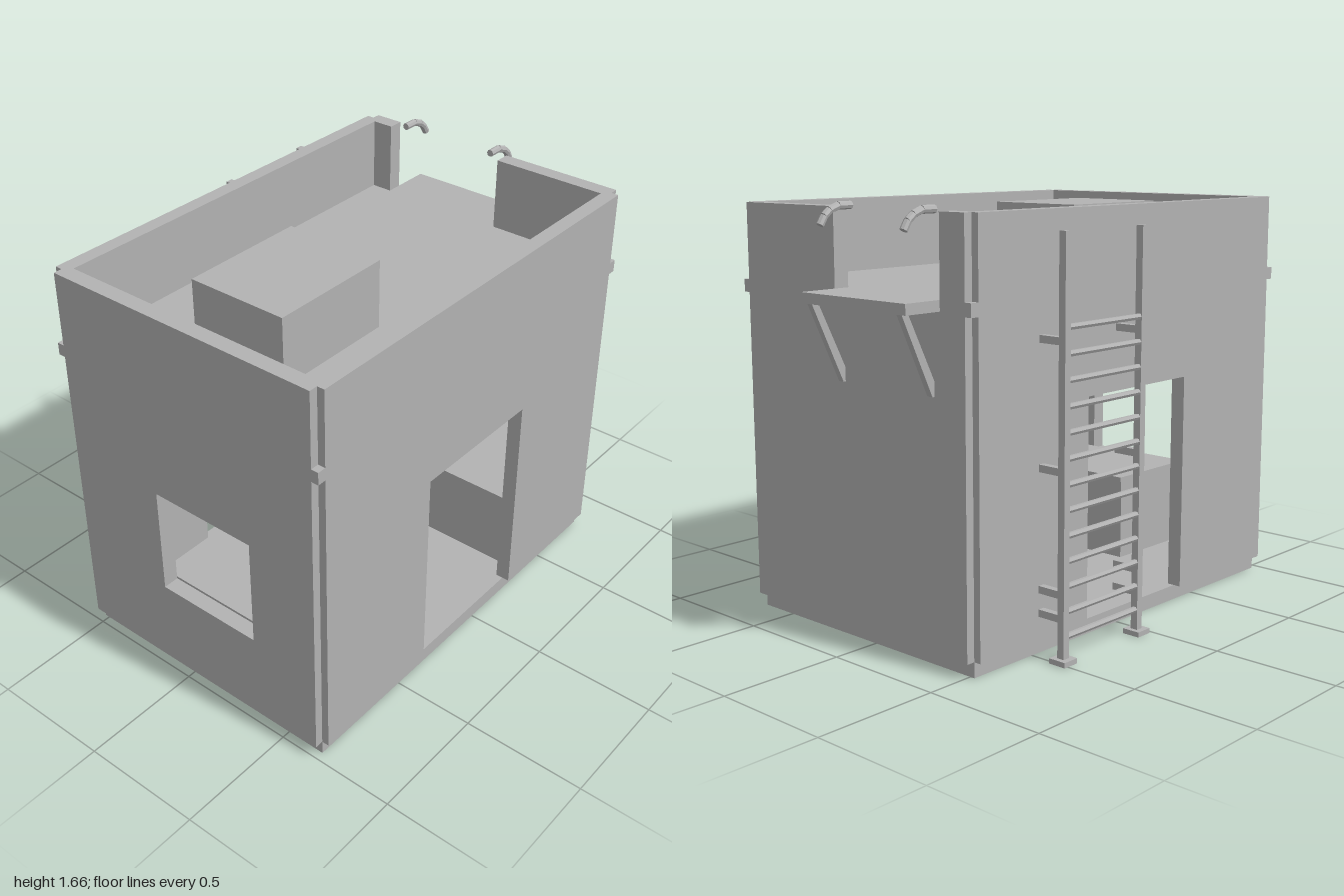
import * as THREE from 'three';

export function createModel() {
  const root = new THREE.Group();
  const concrete = new THREE.MeshStandardMaterial({ color: 0xb2b2b2 });
  concrete.name = 'concreteGrey';

  function add(name, geometry, parent = root) {
    const mesh = new THREE.Mesh(geometry, concrete);
    mesh.name = name;
    parent.add(mesh);
    return mesh;
  }

  // Box given by its lower and upper limits on each axis
  function block(name, [x0, x1], [y0, y1], [z0, z1], parent) {
    const mesh = add(name, new THREE.BoxGeometry(x1 - x0, y1 - y0, z1 - z0), parent);
    mesh.position.set((x0 + x1) / 2, (y0 + y1) / 2, (z0 + z1) / 2);
    return mesh;
  }

  // Flat panel from an outline, with optional holes
  function panel(name, outline, holes, depth, parent) {
    const toPoints = (list) => list.map(([x, y]) => new THREE.Vector2(x, y));
    const shape = new THREE.Shape(toPoints(outline));
    holes.forEach((h) => shape.holes.push(new THREE.Path(toPoints(h))));
    return add(name, new THREE.ExtrudeGeometry(shape, { depth, bevelEnabled: false }), parent);
  }

  // Faceted rod between two points
  function rod(name, a, b, radius, sides, parent) {
    const dir = b.clone().sub(a);
    const geometry = new THREE.CylinderGeometry(radius, radius, dir.length(), sides).toNonIndexed();
    geometry.computeVertexNormals();
    const mesh = add(name, geometry, parent);
    mesh.position.copy(a).add(b).multiplyScalar(0.5);
    mesh.quaternion.setFromUnitVectors(new THREE.Vector3(0, 1, 0), dir.normalize());
    return mesh;
  }

  // Plinth and roof slab; the slab fills the corner notches as a band
  block('plinth', [-0.965, 0.805], [0, 0.06], [-0.52, 0.665]);
  block('roofSlab', [-1, 0.84], [1.29, 1.34], [-0.55, 0.695]);

  // Front and back walls with matching doorways
  const doorWall = [
    [-0.965, 0.06], [-0.38, 0.06], [-0.38, 0.94], [0.22, 0.94],
    [0.22, 0.06], [0.805, 0.06], [0.805, 1.64], [-0.965, 1.64],
  ];
  panel('frontWall', doorWall, [], 0.06).position.z = 0.635;
  panel('backWall', doorWall, [], 0.06).position.z = -0.55;

  // Side walls, drawn in z and y, then turned
  const windowHole = [[-0.09, 0.42], [-0.09, 0.87], [0.37, 0.87], [0.37, 0.42]];
  const windowWall = panel('windowWall',
    [[-0.52, 0.06], [0.665, 0.06], [0.665, 1.64], [-0.52, 1.64]], [windowHole], 0.065);
  windowWall.rotation.y = -Math.PI / 2;
  windowWall.position.x = -0.935;
  const gapWall = panel('platformWall', [
    [-0.52, 0.06], [0.665, 0.06], [0.665, 1.64], [0.15, 1.64],
    [0.15, 1.34], [-0.4, 1.34], [-0.4, 1.64], [-0.52, 1.64],
  ], [], 0.065);
  gapWall.rotation.y = -Math.PI / 2;
  gapWall.position.x = 0.84;

  // Box on the roof
  block('roofBox', [-0.7, -0.17], [1.34, 1.62], [-0.14, 0.285]);

  // Counters inside, each with an overhanging top
  block('leftCounter', [-0.935, -0.54], [0.06, 0.41], [-0.11, 0.635]);
  block('leftCounterTop', [-0.935, -0.51], [0.41, 0.43], [-0.13, 0.635]);
  block('rightCounter', [0.3, 0.775], [0.06, 0.41], [-0.49, 0.635]);
  block('rightCounterTop', [0.27, 0.775], [0.41, 0.43], [-0.49, 0.635]);

  // Side platform on two slanted struts, with a hooked handle over each end
  const platform = new THREE.Group();
  platform.name = 'sidePlatform';
  root.add(platform);
  block('platformDeck', [0.78, 1], [1.3, 1.34], [-0.4, 0.15], platform);
  for (const z of [0.1, -0.37]) {
    panel('platformStrut', [[0.84, 1], [0.85, 1], [0.99, 1.3], [0.96, 1.3], [0.84, 1.055]],
      [], 0.026, platform).position.z = z;
  }
  const hook = [[0.805, 1.645], [0.865, 1.645], [0.905, 1.63], [0.93, 1.61], [0.95, 1.578]];
  for (const z of [0.092, -0.343]) {
    const points = hook.map(([x, y]) => new THREE.Vector3(x, y, z));
    for (let i = 0; i < points.length - 1; i++) {
      rod('handle', points[i], points[i + 1], 0.015, 8, platform);
    }
  }

  // Ladder behind the back wall
  const ladder = new THREE.Group();
  ladder.name = 'ladder';
  root.add(ladder);
  for (const x of [0.05, 0.483]) {
    block('ladderRail', [x - 0.015, x + 0.015], [0, 1.57], [-0.672, -0.642], ladder);
    block('ladderFoot', [x - 0.035, x + 0.035], [0, 0.02], [-0.695, -0.62], ladder);
    for (const y of [0.17, 0.26, 0.715, 1.185]) {
      block('wallBracket', [x - 0.014, x + 0.014], [y - 0.014, y + 0.014], [-0.645, -0.55], ladder);
    }
  }
  for (let i = 0; i < 13; i++) {
    const y = 0.1 + i * 0.0945;
    rod('ladderRung', new THREE.Vector3(0.06, y, -0.66), new THREE.Vector3(0.475, y, -0.66), 0.012, 6, ladder);
  }

  return root;
}
